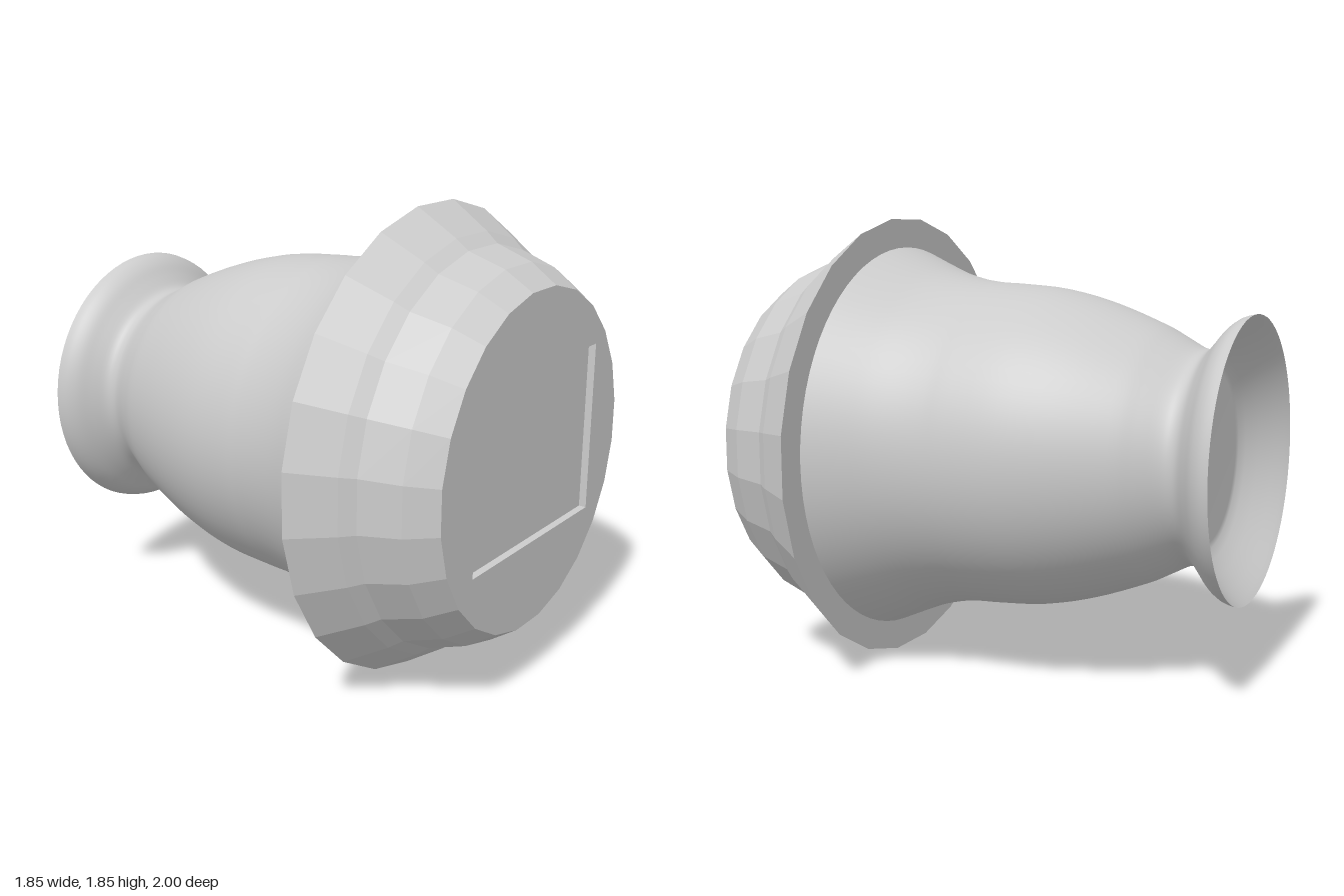
import * as THREE from 'three';

const AXIS_Y = 0.93; // height of the horizontal axis of revolution
const smoothGrey = new THREE.MeshStandardMaterial({ color: 0xcccccc });
const flatGrey = new THREE.MeshStandardMaterial({ color: 0xcccccc, flatShading: true });

const toPoints = (pairs) => pairs.map(([r, z]) => new THREE.Vector2(r, z));

// Revolve a [radius, z] profile around the z axis
function turned(name, points, segments, material, start = 0) {
  const geometry = new THREE.LatheGeometry(points, segments, start);
  geometry.rotateX(Math.PI / 2);
  const mesh = new THREE.Mesh(geometry, material);
  mesh.name = name;
  return mesh;
}

export function createModel() {
  const model = new THREE.Group();
  model.name = 'handStamp';
  const axis = new THREE.Group();
  axis.name = 'turnedParts';
  axis.position.y = AXIS_Y;
  model.add(axis);

  // Faceted base with a flat shoulder facing the handle
  const sides = 24;
  const step = (Math.PI * 2) / sides;
  axis.add(turned('base', toPoints([
    [0.79, 0.53], [0.933, 0.53], [0.828, 0.69], [0.787, 0.74], [0.735, 0.89], [0.662, 1],
  ]), sides, flatGrey, step / 2));

  // Front plate with a rectangular opening
  const plate = new THREE.Shape(Array.from({ length: sides }, (_, i) => {
    const a = (i + 0.5) * step;
    return new THREE.Vector2(0.662 * Math.cos(a), 0.662 * Math.sin(a));
  }));
  const [left, right, bottom, top] = [-0.435, 0.45, 0.61 - AXIS_Y, 1.295 - AXIS_Y];
  plate.holes.push(new THREE.Path(toPoints([
    [left, bottom], [left, top], [right, top], [right, bottom],
  ])));
  const depth = 0.03;
  const face = new THREE.Mesh(
    new THREE.ExtrudeGeometry(plate, { depth, bevelEnabled: false }), flatGrey);
  face.name = 'frontPlate';
  face.position.z = 1 - depth;
  axis.add(face);

  // Floor of the shallow recess
  const floor = new THREE.Mesh(new THREE.PlaneGeometry(right - left, top - bottom), flatGrey);
  floor.name = 'recessFloor';
  floor.position.set((left + right) / 2, (bottom + top) / 2, 1 - depth);
  axis.add(floor);

  // Smooth bell-shaped handle with a narrow neck and flared end
  const handle = new THREE.SplineCurve(toPoints([
    [0.563, -1], [0.553, -0.96], [0.525, -0.92], [0.478, -0.88], [0.435, -0.84],
    [0.424, -0.805], [0.435, -0.765], [0.475, -0.69], [0.52, -0.6], [0.595, -0.4],
    [0.645, -0.2], [0.663, 0], [0.668, 0.1], [0.683, 0.2], [0.71, 0.3],
    [0.75, 0.4], [0.81, 0.535],
  ]));
  axis.add(turned('handle', handle.getPoints(64), 72, smoothGrey));

  // Hollow dish inside the flared end
  axis.add(turned('endDish', toPoints([
    [0, -0.83], [0.34, -0.83], [0.365, -0.835], [0.4, -0.855], [0.45, -0.895],
    [0.505, -0.945], [0.54, -0.98], [0.563, -1],
  ]), 72, smoothGrey));

  return model;
}
